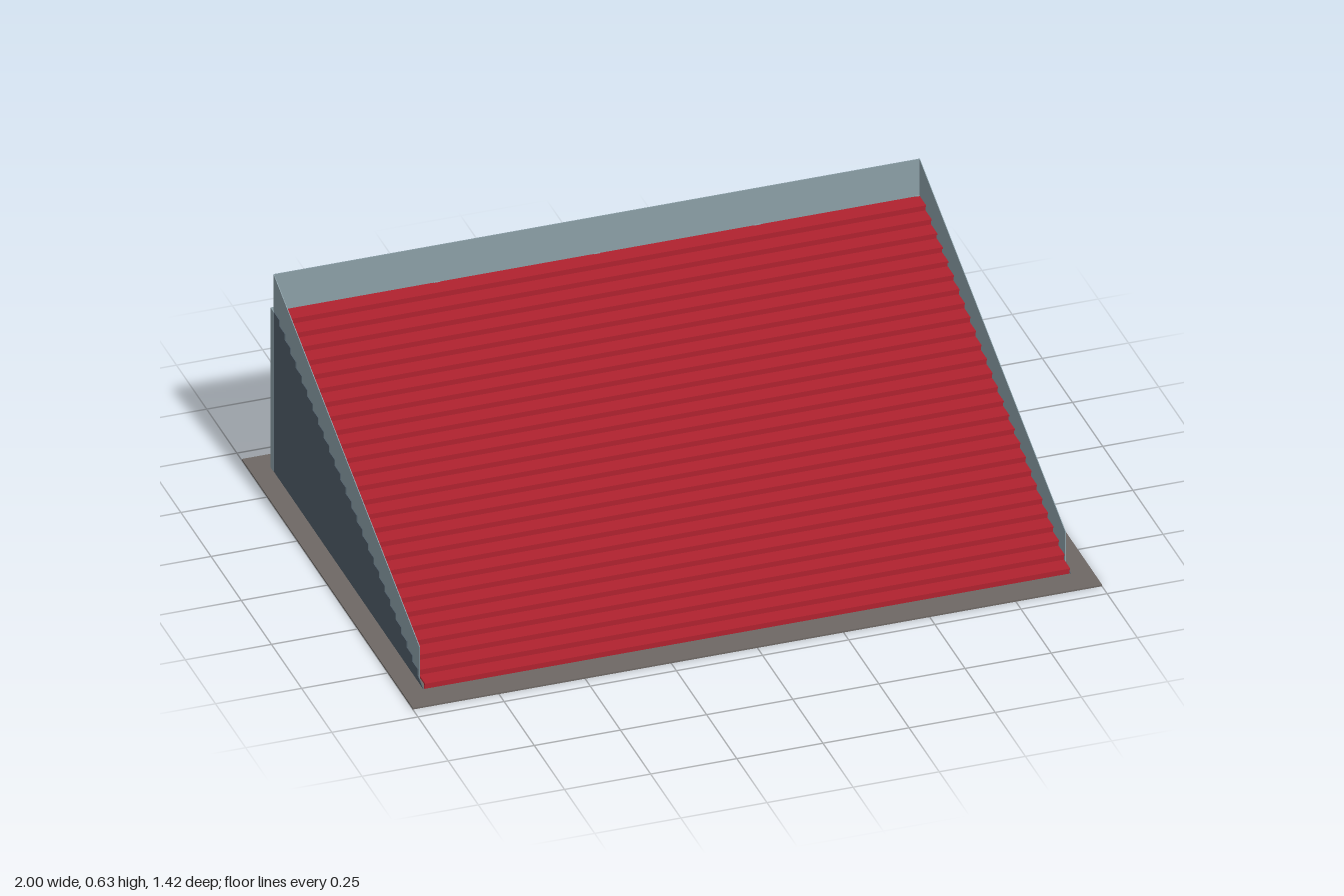
import * as THREE from 'three';

const mat = (name, color, extra = {}) => {
  const m = new THREE.MeshStandardMaterial({ color, ...extra });
  m.name = name;
  return m;
};

export function createModel() {
  const group = new THREE.Group();
  group.name = 'grandstand';
  const concrete = mat('concrete grey', 0x6e6864);
  const red = mat('seat red', 0xb0222f);
  const railGrey = mat('rail blue grey', 0x8b9fa7);
  const wallGrey = mat('wall slate', 0x4f5d68);

  const STEPS = 27, FRONT = 0.622, BACK = -0.617, TOP = 0.512, HALF = 0.94, FLOOR = 0.005;
  const depth = (FRONT - BACK) / STEPS;
  const rise = (TOP - FLOOR) / STEPS;

  const add = (name, geometry, material) => {
    const mesh = new THREE.Mesh(geometry, material);
    mesh.name = name;
    group.add(mesh);
    return mesh;
  };
  // Box given by its lower and upper corners
  const box = (name, material, [x0, y0, z0], [x1, y1, z1]) =>
    add(name, new THREE.BoxGeometry(x1 - x0, y1 - y0, z1 - z0), material)
      .position.set((x0 + x1) / 2, (y0 + y1) / 2, (z0 + z1) / 2);
  // Thin upright plate drawn in (z, y), spanning x to x + thickness
  const sidePlate = (name, material, points, x, thickness) => {
    const shape = new THREE.Shape(points.map(([z, y]) => new THREE.Vector2(-z, y)));
    const geometry = new THREE.ExtrudeGeometry(shape, { depth: thickness, bevelEnabled: false });
    geometry.rotateY(Math.PI / 2);
    add(name, geometry, material).position.x = x;
  };

  // Ground slab
  box('groundSlab', concrete, [-1, 0, -0.708], [1, FLOOR, 0.708]);

  // Stepped terrace: a riser and a tread with a small nosing per row
  const w = HALF - 0.004;
  for (let i = 0; i < STEPS; i++) {
    const z = FRONT - i * depth, y = FLOOR + i * rise;
    box('riser', red, [-w, y, z - 0.006], [w, y + rise - 0.005, z]);
    box('tread', red, [-w, y + rise - 0.005, z - depth - 0.004], [w, y + rise, z + 0.005]);
  }

  // Stepped side walls, sloping down to the slab at the front
  const profile = [[BACK, FLOOR], [FRONT, FLOOR]];
  for (let i = 0; i < STEPS; i++) {
    const z = FRONT - i * depth, y = FLOOR + (i + 1) * rise;
    if (i > 0) profile.push([z, y]);
    profile.push([z - depth, y]);
  }
  // Sloped side rails standing just inside the walls
  const rail = [[-0.622, 0.49], [0.585, 0.012], [0.585, 0.118], [-0.622, 0.628]];
  for (const side of [1, -1]) {
    sidePlate('sideWall', wallGrey, profile, side * (HALF - 0.001) - 0.001, 0.002);
    sidePlate('sideRail', railGrey, rail, side * (HALF - 0.003) - 0.001, 0.002);
  }

  // Back wall and the rail above it
  box('backWall', wallGrey, [-HALF, FLOOR, BACK - 0.004], [HALF, TOP - 0.002, BACK]);
  box('backRail', railGrey, [-HALF + 0.002, TOP - 0.002, -0.625], [HALF - 0.002, 0.628, -0.622]);

  // Posts along the back
  for (let i = 0; i < 5; i++) {
    const x = (i / 4 - 0.5) * 2 * (HALF - 0.008);
    box('backPost', railGrey, [x - 0.009, FLOOR, -0.64], [x + 0.009, TOP + 0.002, -0.619]);
  }
  return group;
}
